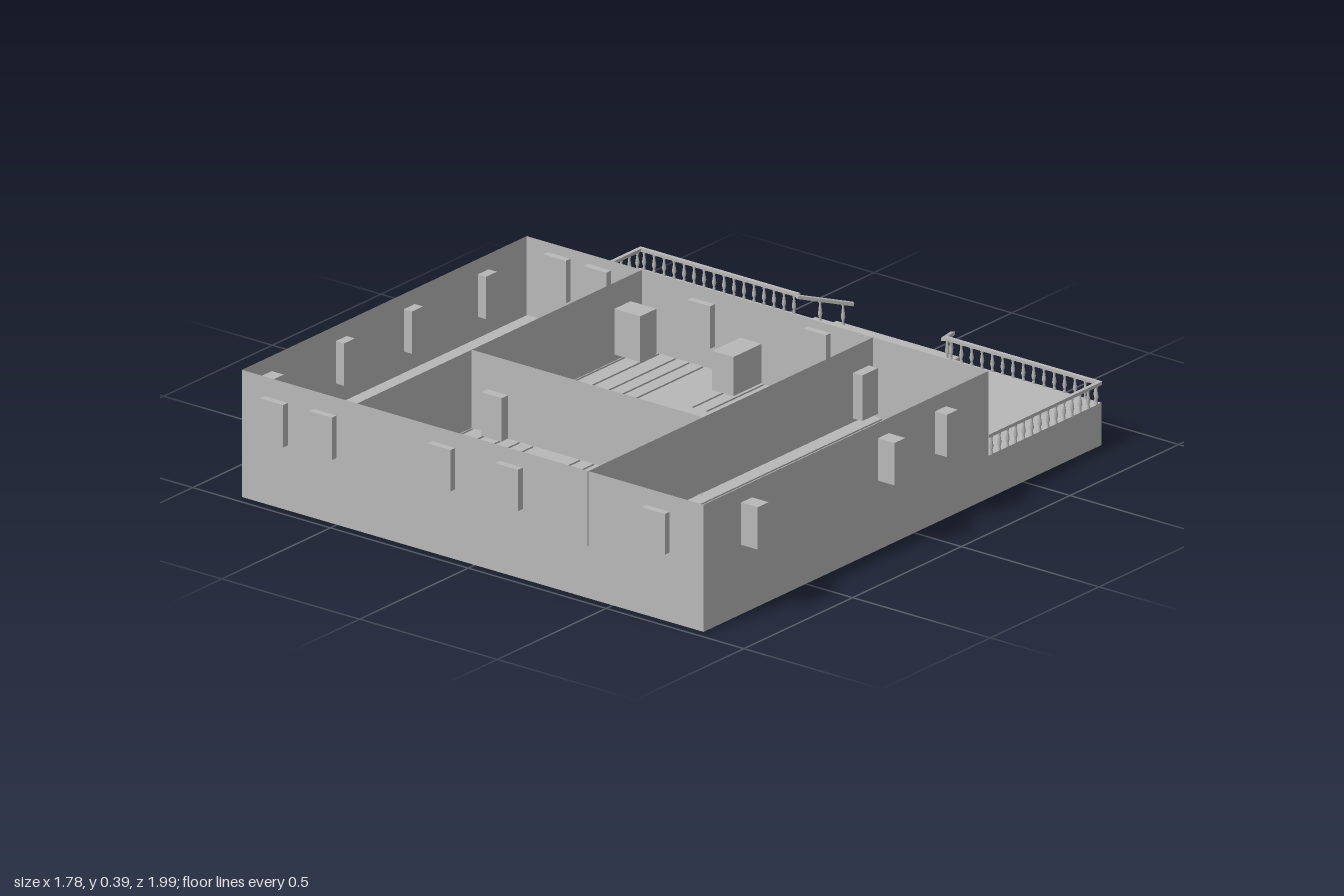
import * as THREE from 'three';

const L = -0.845, R = 0.83, F = 0.97, B = -0.34, DECK = -0.86;
const FLOOR = 0.13, TOP = 0.39;

export function createModel() {
  const model = new THREE.Group();
  const grey = new THREE.MeshStandardMaterial({ color: 0xb8b8b8, side: THREE.DoubleSide });
  grey.name = 'plain grey';

  const add = (name, geometry, parent = model) => {
    const mesh = new THREE.Mesh(geometry, grey);
    mesh.name = name;
    parent.add(mesh);
    return mesh;
  };
  // Box given by its limits on each axis
  const block = (name, x0, x1, y0, y1, z0, z1, parent) => {
    const mesh = add(name, new THREE.BoxGeometry(x1 - x0, y1 - y0, z1 - z0), parent);
    mesh.position.set((x0 + x1) / 2, (y0 + y1) / 2, (z0 + z1) / 2);
    return mesh;
  };
  const group = (name) => {
    const g = new THREE.Group();
    g.name = name;
    model.add(g);
    return g;
  };

  // Foundation and rear deck
  block('foundation', L, R, 0, FLOOR, DECK, F);

  // Thin upright walls
  const walls = group('walls');
  const wall = (name, x0, z0, x1, z1, y0 = FLOOR) => {
    const mesh = add(name, new THREE.PlaneGeometry(Math.hypot(x1 - x0, z1 - z0), TOP - y0), walls);
    mesh.position.set((x0 + x1) / 2, (y0 + TOP) / 2, (z0 + z1) / 2);
    mesh.rotation.y = -Math.atan2(z1 - z0, x1 - x0);
  };
  wall('frontWall', L, F, R, F);
  wall('backWall', R, B, L, B);
  wall('leftWall', R, F, R, B);
  wall('rightWall', L, B, L, F);
  wall('innerWallLeft', 0.412, F + 0.003, 0.412, B - 0.003, 0.16);
  wall('innerWallRight', -0.427, B, -0.427, F);
  wall('innerCrossWall', -0.427, 0.443, 0.412, 0.443);

  // Floor planks separated by narrow grooves
  const planks = group('floorPlanks');
  const grooves = [L, -0.79, -0.74, -0.7, -0.63, -0.58, -0.52, -0.42, -0.36, -0.3, -0.25, -0.2,
    -0.03, 0.02, 0.07, 0.12, 0.34, 0.395, 0.45, 0.5, 0.61, 0.72, 0.77, R];
  for (let i = 0; i < grooves.length - 1; i++) {
    block('plank', grooves[i] + 0.004, grooves[i + 1] - 0.004, FLOOR, 0.15, B + 0.002, F - 0.002, planks);
  }

  // Window blocks passing through the outer walls
  const windows = group('windows');
  [[-0.72, 0.2, 0.33], [-0.543, 0.205, 0.335], [-0.113, 0.215, 0.342], [0.132, 0.215, 0.342], [0.665, 0.213, 0.338]]
    .forEach(([x, y0, y1]) => block('frontWindow', x - 0.042, x + 0.042, y0, y1, 0.945, 0.992, windows));
  [[-0.727, 0.23], [-0.58, 0.23], [-0.203, 0.22], [0.217, 0.235]]
    .forEach(([x, y]) => block('backWindow', x - 0.041, x + 0.041, y, y + 0.13, -0.367, -0.318, windows));
  [[-0.14, -0.895], [0.2, -0.895], [0.513, -0.895], [0.857, -0.882]]
    .forEach(([z, x]) => block('rightWindow', x, x + 0.08, 0.213, 0.343, z - 0.025, z + 0.025, windows));
  [[-0.12, 0.79, 0.873], [0.143, 0.775, 0.89], [0.772, 0.775, 0.89]]
    .forEach(([z, x0, x1]) => block('leftWindow', x0, x1, 0.213, 0.343, z - 0.025, z + 0.025, windows));

  // Doors set through the walls
  block('backDoor', -0.07, 0.007, 0.15, 0.27, -0.36, -0.21);
  block('rightRoomDoor', -0.487, -0.333, 0.17, 0.31, -0.288, -0.213);
  block('leftRoomDoor', 0.29, 0.445, 0.17, 0.31, -0.32, -0.248);
  block('frontRoomDoor', -0.37, -0.295, 0.15, 0.283, 0.315, 0.473);

  // Low table and bench in the main room
  block('tableTop', -0.11, 0.2, 0.18, 0.2, 0.075, 0.232);
  block('tableBack', -0.11, 0.2, 0.15, 0.2, 0.028, 0.075);
  block('tableBase', -0.09, 0.18, 0.15, 0.18, 0.085, 0.21);
  block('bench', -0.095, 0.215, 0.15, 0.185, 0.247, 0.298);

  // Rear steps
  block('upperStep', -0.265, 0.25, 0.08, 0.1, -0.932, DECK);
  block('lowerStep', -0.23, 0.218, 0.06, 0.08, -0.985, -0.92);

  // Deck railings with turned balusters
  const profile = [[0.0045, 0], [0.0045, 0.1], [0.003, 0.18], [0.0065, 0.4], [0.003, 0.8], [0.0045, 0.9], [0.0045, 1]];
  const railing = group('railing');
  const baluster = (x, z, y0, y1) => {
    const points = profile.map(([r, t]) => new THREE.Vector2(r, t * (y1 - y0)));
    add('baluster', new THREE.LatheGeometry(points, 8), railing).position.set(x, y0, z);
  };
  const rail = (name, a, b) => {
    const mesh = add(name, new THREE.BoxGeometry(0.012, 0.01, a.distanceTo(b)), railing);
    mesh.position.copy(a).lerp(b, 0.5);
    mesh.lookAt(b);
  };
  const run = (x0, z0, x1, z1) => {
    const a = new THREE.Vector3(x0, 0.19, z0), b = new THREE.Vector3(x1, 0.19, z1);
    rail('handrail', a, b);
    const n = Math.round(a.distanceTo(b) / 0.037);
    for (let i = 0; i < n; i++) {
      const p = a.clone().lerp(b, (i + 0.5) / n);
      baluster(p.x, p.z, FLOOR, 0.186);
    }
  };
  run(R - 0.004, B, R - 0.004, DECK);
  run(L + 0.006, B, L + 0.006, DECK);
  run(L, DECK + 0.003, -0.265, DECK + 0.003);
  run(0.268, DECK + 0.003, R, DECK + 0.003);

  // Sloping stair rails
  [[-0.262, -0.175], [0.268, 0.187]].forEach(([x0, x1]) => {
    const a = new THREE.Vector3(x0, 0.19, -0.845), b = new THREE.Vector3(x1, 0.143, -0.992);
    rail('stairRail', a, b);
    [[0.41, 0.1], [0.82, 0.08]].forEach(([t, y]) => {
      const p = a.clone().lerp(b, t);
      baluster(p.x, p.z, y, p.y);
    });
  });

  return model;
}
